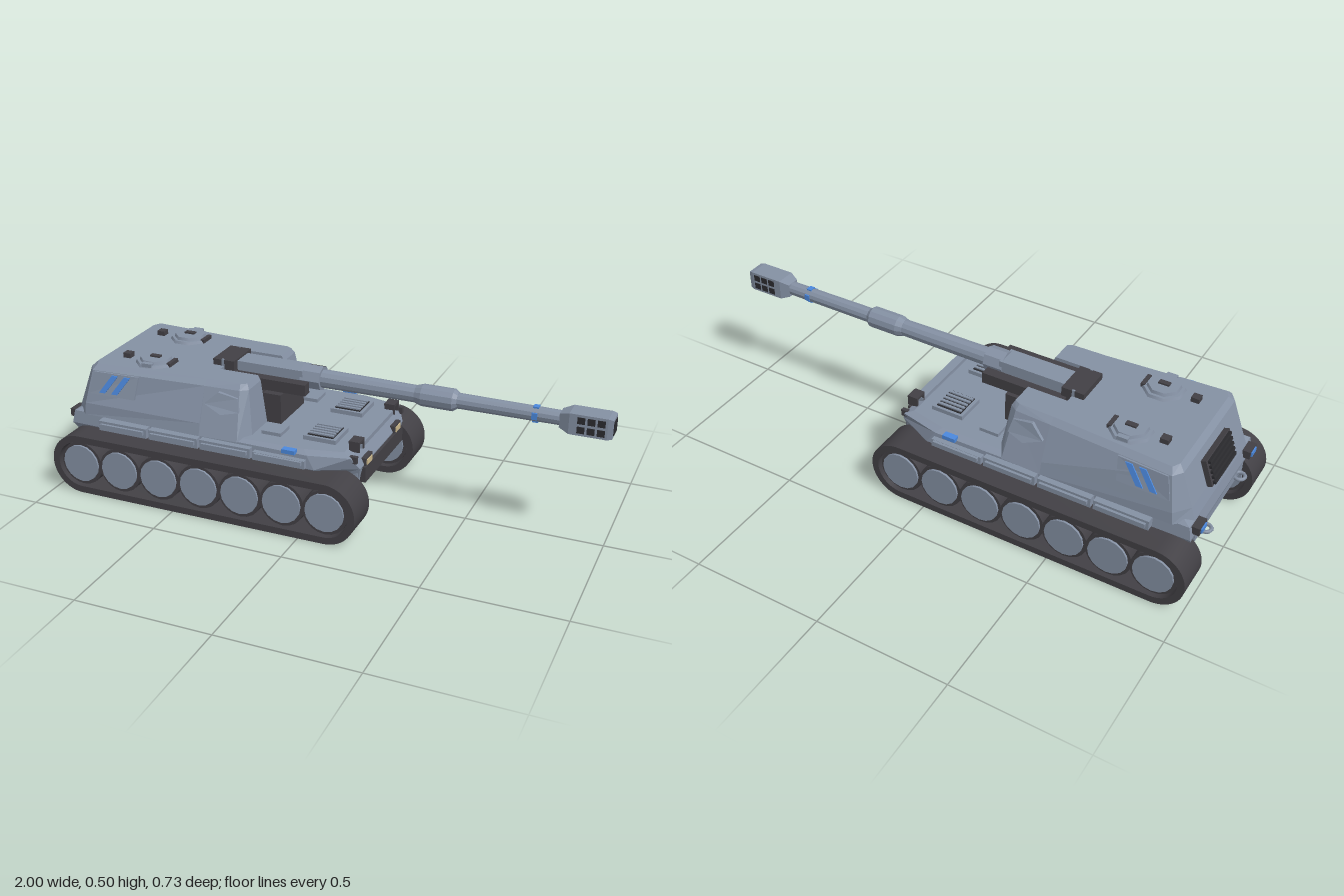
import * as THREE from 'three';
import { toCreasedNormals } from 'three/addons/utils/BufferGeometryUtils.js';

const mat = (name, color) => Object.assign(new THREE.MeshStandardMaterial({ color }), { name });

export function createModel() {
  const root = new THREE.Group();
  root.name = 'trackedHowitzer';
  const grey = mat('armourGrey', 0x8490a3);
  const dark = mat('darkRubber', 0x424045);
  const black = mat('grilleBlack', 0x2c2c30);
  const blue = mat('markingBlue', 0x4b88dc);
  const tan = mat('lampTan', 0xcbb88c);

  const add = (name, geo, m, x = 0, y = 0, z = 0, parent = root) => {
    const mesh = new THREE.Mesh(geo, m);
    mesh.name = name;
    mesh.position.set(x, y, z);
    parent.add(mesh);
    return mesh;
  };
  // box given by its extents
  const box = (name, m, x0, x1, y0, y1, z0, z1) =>
    add(name, new THREE.BoxGeometry(x1 - x0, y1 - y0, Math.abs(z1 - z0)), m, (x0 + x1) / 2, (y0 + y1) / 2, (z0 + z1) / 2);
  // the same box on both sides
  const pair = (name, m, x0, x1, y0, y1, z0, z1) => [1, -1].map(s => box(name, m, x0, x1, y0, y1, s * z0, s * z1));

  // flat-shaded convex solid through stacked rings of equal point count
  const loft = rings => {
    const tris = [], n = rings[0].length;
    rings.slice(1).forEach((top, k) => {
      const low = rings[k];
      for (let i = 0; i < n; i++) {
        const j = (i + 1) % n;
        tris.push([low[i], low[j], top[j]], [low[i], top[j], top[i]]);
      }
    });
    const last = rings[rings.length - 1];
    for (let i = 1; i < n - 1; i++) tris.push([rings[0][0], rings[0][i + 1], rings[0][i]], [last[0], last[i], last[i + 1]]);
    let volume = 0;
    for (const [a, b, c] of tris) volume += new THREE.Vector3(...a).dot(new THREE.Vector3(...b).cross(new THREE.Vector3(...c)));
    if (volume < 0) tris.forEach(t => t.reverse());
    const g = new THREE.BufferGeometry();
    g.setAttribute('position', new THREE.Float32BufferAttribute(tris.flat(2), 3));
    g.computeVertexNormals();
    return g;
  };
  // level ring from [x, z] points, mirrored across z = 0 when asked
  const half = (y, pts) => pts.map(([x, z, dy = 0]) => [x, y + dy, z]);
  const full = (y, pts) => [...half(y, pts), ...half(y, pts).reverse().map(([x, h, z]) => [x, h, -z])];

  // lower and upper hull
  add('lowerHull', loft([
    full(0.075, [[-0.92, 0.212], [0.09, 0.212]]),
    full(0.18, [[-0.96, 0.212], [0.165, 0.212]]),
    full(0.235, [[-0.96, 0.212], [0.165, 0.212]]),
  ]), grey);
  add('upperHull', loft([
    full(0.17, [[-0.95, 0.22], [0.02, 0.22], [0.16, 0.2]]),
    full(0.236, [[-0.965, 0.27], [0.03, 0.285], [0.175, 0.215]]),
    full(0.285, [[-0.955, 0.265], [0.0, 0.28], [0.15, 0.245]]),
    full(0.296, [[-0.93, 0.25], [-0.02, 0.255], [0.12, 0.225]]),
  ]), grey);
  box('frontBumper', dark, 0.155, 0.185, 0.172, 0.231, -0.187, 0.187);
  box('bowLip', grey, 0.125, 0.16, 0.288, 0.305, -0.16, 0.16);

  // running gear: hollow belts with seven wheels a side
  const stadium = (T, r) => {
    const p = new T();
    p.moveTo(-0.884, 0.116 - r);
    p.lineTo(0.099, 0.116 - r);
    p.absarc(0.099, 0.116, r, -Math.PI / 2, Math.PI / 2, false);
    p.lineTo(-0.884, 0.116 + r);
    p.absarc(-0.884, 0.116, r, Math.PI / 2, Math.PI * 1.5, false);
    return p;
  };
  const belt = stadium(THREE.Shape, 0.116);
  belt.holes.push(stadium(THREE.Path, 0.09));
  const beltGeo = toCreasedNormals(new THREE.ExtrudeGeometry(belt, { depth: 0.138, bevelEnabled: false, curveSegments: 14 }), 0.6);
  const tyreGeo = new THREE.CylinderGeometry(0.085, 0.085, 0.11, 20).rotateX(Math.PI / 2);
  const discGeo = new THREE.CylinderGeometry(0.073, 0.073, 0.126, 16).rotateX(Math.PI / 2);
  for (const s of [1, -1]) {
    add('trackBelt', beltGeo, dark, 0, 0, s > 0 ? 0.227 : -0.365);
    for (let i = 0; i < 7; i++) {
      const x = -0.884 + i * 0.1638;
      add('tyre', tyreGeo, dark, x, 0.116, s * 0.296);
      add('wheelDisc', discGeo, grey, x, 0.118, s * 0.296);
    }
    // side skirts
    for (let i = 0; i < 4; i++) {
      const x = -0.83 + i * 0.21;
      box('fenderBox', grey, x, x + 0.2, 0.24, 0.278 - (i === 3 ? 0.008 : 0), s * 0.265, s * 0.3);
      box('fenderRail', grey, x + 0.01, x + 0.19, 0.255, 0.269, s * 0.298, s * 0.31);
    }
  }

  // turret body, with a cheek on each side of the gun slot
  add('turretBody', loft([
    full(0.285, [[-0.955, 0.225], [-0.9, 0.28], [-0.42, 0.285]]),
    full(0.33, [[-0.94, 0.22], [-0.895, 0.277], [-0.42, 0.275]]),
    full(0.455, [[-0.895, 0.215], [-0.87, 0.25], [-0.42, 0.222]]),
    full(0.474, [[-0.875, 0.2], [-0.86, 0.228], [-0.42, 0.2]]),
  ]), grey);
  for (const s of [1, -1]) {
    const ring = (y, pts) => half(y, pts.map(([x, z]) => [x, z * s]));
    add('turretCheek', loft([
      ring(0.285, [[-0.42, 0.1], [-0.42, 0.285], [-0.27, 0.28], [-0.235, 0.225], [-0.235, 0.1]]),
      ring(0.455, [[-0.42, 0.1], [-0.42, 0.222], [-0.285, 0.215], [-0.258, 0.195], [-0.258, 0.1]]),
      ring(0.474, [[-0.42, 0.1], [-0.42, 0.2], [-0.29, 0.197], [-0.268, 0.185], [-0.268, 0.1]]),
    ]), grey);
    // bolted armour panel standing off the cheek
    add('cheekPanel', loft([0, 0.014].map(o => [
      [-0.41, 0.4, s * (0.238 + o)], [-0.34, 0.372, s * (0.25 + o)], [-0.275, 0.385, s * (0.235 + o)],
      [-0.285, 0.43, s * (0.218 + o)], [-0.36, 0.445, s * (0.222 + o)],
    ])), grey);
    // side armour sheet on the rear half
    add('sideSheet', loft([0, 0.008].map(o => [
      [-0.88, 0.37, s * (0.264 + o)], [-0.69, 0.37, s * (0.261 + o)],
      [-0.68, 0.453, s * (0.238 + o)], [-0.86, 0.453, s * (0.248 + o)],
    ])), grey);
    // painted slanted stripes
    for (const x of [-0.835, -0.785]) {
      const at = (dx, y) => [x + dx, y, s * (0.2735 - (y - 0.37) * 0.215 - (x + dx + 0.86) * 0.035)];
      const corners = [at(0, 0.38), at(0.025, 0.38), at(0.075, 0.448), at(0.05, 0.448)];
      add('sideStripe', loft([corners, corners.map(([a, b, c]) => [a, b, c + s * 0.004])]), blue);
    }
    // roof hatches
    const hatch = (r, h) => new THREE.CylinderGeometry(r * 0.92, r, h, 8).rotateY(Math.PI / 8);
    add('hatchRim', hatch(0.078, 0.012), grey, -0.67, 0.478, s * 0.13);
    add('hatchLid', hatch(0.062, 0.014), grey, -0.67, 0.488, s * 0.13);
    box('hatchHandle', dark, -0.69, -0.65, 0.494, 0.501, s * 0.12, s * 0.14);
    box('hatchHinge', dark, -0.61, -0.595, 0.474, 0.488, s * 0.1, s * 0.16);
    box('hatchArm', grey, -0.69, -0.65, 0.478, 0.492, s * 0.18, s * 0.202);
    box('roofSight', dark, -0.805, -0.775, 0.472, 0.492, s * 0.11, s * 0.14);
    box('roofPost', grey, -0.43, -0.42, 0.47, 0.5, s * 0.065, s * 0.071);
  }

  // rear turret grille, leaning with the back plate
  const grille = new THREE.Group();
  grille.name = 'rearGrille';
  grille.position.set(-0.923, 0.375, 0);
  grille.rotation.z = -0.34;
  root.add(grille);
  add('grilleFrame', new THREE.BoxGeometry(0.04, 0.1, 0.2), dark, 0, 0, 0, grille);
  for (let i = 0; i < 5; i++) add('grilleSlat', new THREE.BoxGeometry(0.012, 0.01, 0.18), black, -0.024, -0.04 + i * 0.02, 0, grille);

  // gun mount
  box('mantlet', dark, -0.44, -0.18, 0.285, 0.408, -0.1, 0.1);
  pair('recuperator', dark, -0.4, -0.085, 0.42, 0.462, 0.06, 0.098);
  box('slotFloor', dark, -0.44, -0.25, 0.4, 0.43, -0.1, 0.1);
  box('breechCover', dark, -0.465, -0.38, 0.45, 0.497, -0.07, 0.07);
  box('gunCradle', grey, -0.4, -0.12, 0.415, 0.49, -0.042, 0.042);

  // barrel: [x start, x end, start radius, end radius]
  const gunY = 0.457;
  const tube = (name, x0, x1, r0, r1, sides = 12) =>
    add(name, toCreasedNormals(new THREE.CylinderGeometry(r1, r0, x1 - x0, sides).rotateZ(-Math.PI / 2), 0.4), grey, (x0 + x1) / 2, gunY, 0);
  tube('barrelCollar', -0.13, -0.055, 0.046, 0.046, 8);
  tube('rearBarrel', -0.06, 0.32, 0.034, 0.031);
  tube('sleeveTaper', 0.3, 0.325, 0.032, 0.04);
  tube('boreEvacuator', 0.325, 0.44, 0.04, 0.04);
  tube('sleeveNose', 0.44, 0.455, 0.04, 0.029);
  tube('frontBarrel', 0.44, 0.83, 0.028, 0.026);
  for (const a of [0, 1, 2, 3]) {
    const mark = add('barrelMark', new THREE.BoxGeometry(0.02, 0.006, 0.024), blue, 0.73, gunY, 0);
    mark.rotation.x = a * Math.PI / 2;
    mark.translateY(0.026);
  }

  // muzzle brake with slots on both sides, dark bore
  const sq = (x, h) => [[x, gunY - h, -h], [x, gunY - h, h], [x, gunY + h, h], [x, gunY + h, -h]];
  add('muzzleBrake', loft([sq(0.815, 0.025), sq(0.85, 0.038), sq(0.98, 0.038), sq(0.997, 0.034)]), grey);
  box('muzzleBore', black, 0.99, 1.0, gunY - 0.024, gunY + 0.024, -0.024, 0.024);
  for (let i = 0; i < 3; i++) for (const dy of [-0.017, 0.017]) {
    const x = 0.878 + i * 0.034;
    pair('brakeSlot', black, x, x + 0.026, gunY + dy - 0.012, gunY + dy + 0.012, 0.034, 0.04);
  }

  // deck fittings
  for (const s of [1, -1]) {
    box('engineLouvre', grey, -0.055, 0.07, 0.29, 0.312, s * 0.065, s * 0.185);
    box('louvreBed', black, -0.042, 0.057, 0.31, 0.315, s * 0.076, s * 0.174);
    for (let i = 0; i < 5; i++) box('louvreSlat', grey, -0.04, 0.055, 0.314, 0.32, s * (0.082 + i * 0.019), s * (0.092 + i * 0.019));
    box('deckHatch', grey, -0.21, -0.135, 0.29, 0.309, s * 0.125, s * 0.2);
    box('sideLight', blue, -0.09, -0.04, 0.284, 0.299, s * 0.268, s * 0.293);
    // headlamps and their guards
    box('lampHousing', dark, 0.155, 0.181, 0.226, 0.259, s * 0.11, s * 0.175);
    box('lampGlass', tan, 0.181, 0.185, 0.233, 0.252, s * 0.12, s * 0.167);
    box('guardTop', dark, 0.125, 0.165, 0.319, 0.328, s * 0.148, s * 0.198);
    for (const z of [0.15, 0.19]) box('guardPost', dark, 0.125, 0.165, 0.288, 0.32, s * z, s * (z + 0.007));
    box('frontClip', dark, 0.13, 0.17, 0.262, 0.288, s * 0.22, s * 0.235);
    // tail lamps and tow points
    box('tailHousing', dark, -0.985, -0.94, 0.25, 0.28, s * 0.19, s * 0.25);
    box('tailLamp', blue, -0.99, -0.984, 0.256, 0.274, s * 0.2, s * 0.24);
    const ring = add('towRing', new THREE.TorusGeometry(0.02, 0.007, 6, 12), grey, -0.972, 0.2, s * 0.15);
    ring.rotation.x = Math.PI / 2;
  }
  return root;
}
